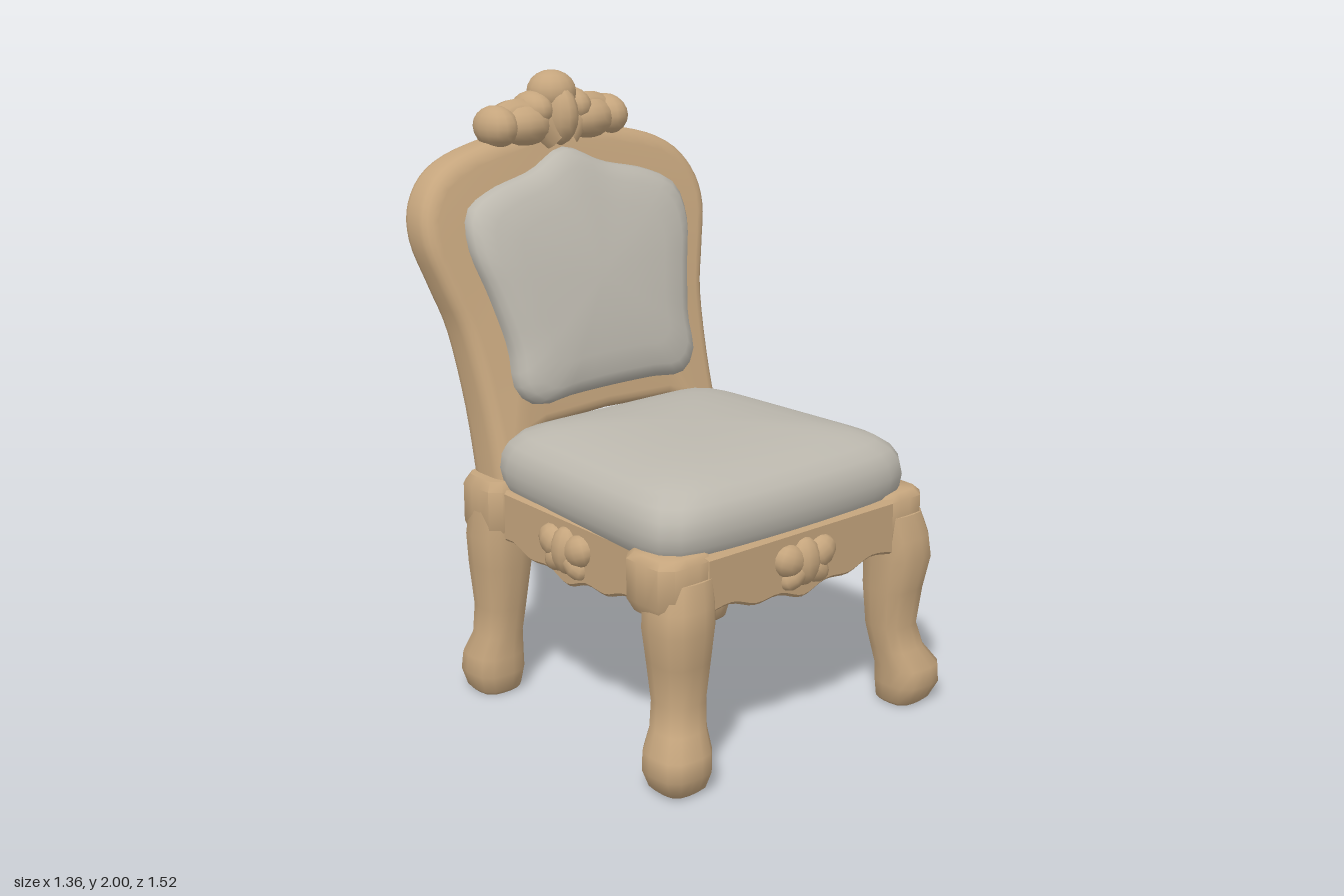
import * as THREE from 'three';
import { toCreasedNormals } from 'three/addons/utils/BufferGeometryUtils.js';

const wood = new THREE.MeshStandardMaterial({ color: 0xc5a57d });
wood.name = 'carved wood';
const fabric = new THREE.MeshStandardMaterial({ color: 0xbcb8ae });
fabric.name = 'grey fabric';

const V = (x, y, z = 0) => new THREE.Vector3(x, y, z);

function add(parent, name, geometry, material) {
  const m = new THREE.Mesh(geometry, material);
  m.name = name;
  parent.add(m);
  return m;
}

// Closed skin through a stack of equal-length rings
function loft(rings) {
  const n = rings[0].length, pos = [], idx = [];
  const mid = r => r.reduce((s, p) => s.add(p), V(0, 0)).divideScalar(n);
  rings.forEach(r => r.forEach(p => pos.push(p.x, p.y, p.z)));
  const a = rings.length * n, last = a - n;
  [mid(rings[0]), mid(rings[rings.length - 1])].forEach(p => pos.push(p.x, p.y, p.z));
  for (let k = 0; k < n; k++) {
    const l = (k + 1) % n;
    for (let i = 0; i < last; i += n) idx.push(i + k, i + n + k, i + l, i + l, i + n + k, i + n + l);
    idx.push(a, k, l, a + 1, last + l, last + k);
  }
  const g = new THREE.BufferGeometry();
  g.setAttribute('position', new THREE.Float32BufferAttribute(pos, 3));
  g.setIndex(idx);
  g.computeVertexNormals();
  return g;
}

// Rounded square outline in x/z, of unit half size
function roundedSquare(n, power) {
  return Array.from({ length: n }, (_, k) => {
    const t = (k + 0.5) / n * Math.PI * 2, c = Math.cos(t), s = Math.sin(t);
    const r = Math.pow(Math.abs(c) ** power + Math.abs(s) ** power, -1 / power);
    return [c * r, s * r];
  });
}

// Backward lean and upward taper of the chair back
const lean = (y, z) => z * (1.2 - 0.35 * (y - 0.75)) - 0.365 - 0.265 * (y - 0.75);

// Curved leg: rows of [y, outward offset, half size]
function leg(x, z, rows, power = 3.2) {
  const sq = roundedSquare(16, power), sx = Math.sign(x), sz = Math.sign(z);
  return toCreasedNormals(loft(rows.map(([y, o, h]) =>
    sq.map(([a, b]) => V(x + sx * o + a * h, y, z + sz * o + b * h)))), 0.9);
}

// Carved flower, facing +z
function ornament() {
  const g = new THREE.Group();
  g.name = 'carvedFlower';
  for (const [x, y, w, h, d, r] of [
    [0, 0, 0.06, 0.078, 0.05, 0], [-0.065, 0.015, 0.064, 0.052, 0.045, -0.4],
    [0.065, 0.015, 0.064, 0.052, 0.045, 0.4], [-0.045, -0.035, 0.058, 0.042, 0.04, 0.6],
    [0.045, -0.035, 0.058, 0.042, 0.04, -0.6]]) {
    const p = add(g, 'petal', new THREE.SphereGeometry(1, 10, 8), wood);
    p.scale.set(w, h, d);
    p.position.set(x, y, 0);
    p.rotation.z = r;
  }
  return g;
}

// Scalloped rail under the seat, facing +z
function apron(name, length, flower) {
  const g = new THREE.Group(), h = length / 2;
  g.name = name;
  const lower = new THREE.SplineCurve([[-1, 0.54], [-0.75, 0.555], [-0.5, 0.525], [-0.25, 0.53],
    [0, 0.5], [0.25, 0.53], [0.5, 0.525], [0.75, 0.555], [1, 0.54]]
    .map(([x, y]) => new THREE.Vector2(x * h, y))).getPoints(32);
  const s = new THREE.Shape([...lower, new THREE.Vector2(h, 0.725), new THREE.Vector2(-h, 0.725)]);
  const e = new THREE.ExtrudeGeometry(s, { depth: 0.025, bevelSize: 0.01, bevelThickness: 0.01,
    bevelOffset: -0.01, bevelSegments: 1 }).translate(0, 0, -0.0125);
  add(g, name + 'Board', toCreasedNormals(e, 0.6), wood);
  if (flower) {
    const f = ornament();
    f.position.set(0, 0.62, 0.018);
    g.add(f);
  }
  return g;
}

// Mirror half-outline points (bottom centre to top) into a full list
const mirror = half => [...half, ...half.slice().reverse().filter(p => p[0] > 0).map(([x, y]) => [-x, y])];

// Padded panel on the chair back: rows of [scale, depth], with an extra mid-height bulge
function backPad(half, rows, bulge) {
  const outline = new THREE.CatmullRomCurve3(mirror(half).map(p => V(...p)), true)
    .getSpacedPoints(64).slice(0, 64).reverse();
  return toCreasedNormals(loft(rows.map(([k, d]) => outline.map(p => {
    const y = 1.35 + (p.y - 1.35) * k;
    return V(p.x * k, y, lean(y, d) + bulge * Math.sin(Math.PI * (y - 0.95) / 0.8));
  }))), 0.9);
}

export function createModel() {
  const model = new THREE.Group();
  model.name = 'model';
  const chair = new THREE.Group();
  chair.name = 'chair';
  chair.rotation.y = -10 * Math.PI / 180;
  model.add(chair);

  // Legs with corner blocks
  const frontRows = [[0, 0.04, 0.066], [0.012, 0.042, 0.078], [0.07, 0.051, 0.095], [0.13, 0.049, 0.094],
    [0.19, 0.026, 0.078], [0.27, 0.01, 0.075], [0.4, 0.012, 0.088], [0.51, 0.02, 0.099],
    [0.58, 0.014, 0.098], [0.66, 0, 0.09]];
  const backRows = [[0, 0.025, 0.07], [0.012, 0.025, 0.08], [0.07, 0.028, 0.094], [0.13, 0.026, 0.09],
    [0.2, 0.014, 0.074], [0.3, 0.006, 0.077], [0.45, 0.004, 0.093], [0.55, 0.004, 0.098], [0.66, 0, 0.09]];
  for (const s of [1, -1]) {
    const side = s > 0 ? 'left' : 'right';
    add(chair, side + 'FrontLeg', leg(s * 0.45 + 0.014, 0.54, frontRows), wood);
    add(chair, side + 'BackLeg', leg(s * 0.44, -0.348, backRows), wood);
    add(chair, side + 'FrontBlock', leg(s * 0.448, 0.512,
      [[0.55, 0, 0.09], [0.59, 0, 0.11], [0.715, 0, 0.11], [0.735, 0, 0.09]], 5), wood);
    add(chair, side + 'BackBlock', leg(s * 0.428, -0.358,
      [[0.55, 0, 0.088], [0.59, 0, 0.104], [0.72, 0, 0.104], [0.75, 0, 0.085]], 5), wood);
    const rail = apron(side + 'Apron', 0.78, true);
    rail.position.set(s * 0.474, 0, 0.075);
    rail.rotation.y = s * (Math.PI / 2 + 0.02);
    chair.add(rail);
  }
  const footPatch = add(chair, 'footPatch', new THREE.SphereGeometry(1, 16, 10), fabric);
  footPatch.scale.set(0.012, 0.05, 0.05);
  footPatch.position.set(-0.379, 0.072, -0.402);
  const front = apron('frontApron', 0.8, true);
  front.position.z = 0.6;
  chair.add(front);
  const rear = apron('backApron', 0.78, false);
  rear.position.z = -0.415;
  rear.rotation.y = Math.PI;
  chair.add(rear);

  // Seat cushion, wider toward the front with a gently bowed front edge
  const plan = roundedSquare(64, 9).map(([a, b]) =>
    [a * (0.508 + 0.028 * b), 0.108 + b * 0.49 + (b > 0 ? 0.025 * b * (1 - a * a) : 0)]);
  const seatRows = [[0.93, 0.695], [0.965, 0.715], [0.99, 0.75], [1, 0.79], [0.985, 0.835], [0.945, 0.87],
    [0.87, 0.9], [0.75, 0.922], [0.57, 0.939], [0.33, 0.949], [0.1, 0.952]];
  add(chair, 'seatCushion', toCreasedNormals(loft(seatRows.map(([k, y]) =>
    plan.map(([x, z]) => V(x * k, y, 0.1 + (z - 0.1) * k)))), 1), fabric);

  // Back frame: posts, arched top and lower rail in one piece
  const outer = new THREE.SplineCurve(mirror([[0.482, 0.7], [0.48, 0.95], [0.502, 1.2], [0.545, 1.35],
    [0.587, 1.5], [0.567, 1.62], [0.475, 1.72], [0.3, 1.78], [0.0, 1.82]])
    .map(p => new THREE.Vector2(...p))).getPoints(64);
  const arch = [[-0.335, 0.7], [-0.335, 0.82], [-0.31, 0.865], [-0.26, 0.88], [0, 0.89],
    [0.26, 0.88], [0.31, 0.865], [0.335, 0.82], [0.335, 0.7]].map(p => new THREE.Vector2(...p));
  const frame = new THREE.ExtrudeGeometry(new THREE.Shape([...outer, ...arch]), { depth: 0.064, bevelSize: 0.045,
    bevelThickness: 0.048, bevelOffset: -0.045, bevelSegments: 4 }).translate(0, 0, -0.032);
  const fp = frame.attributes.position;
  for (let i = 0; i < fp.count; i++) fp.setZ(i, lean(fp.getY(i), fp.getZ(i)));
  add(chair, 'backFrame', toCreasedNormals(frame, 0.8), wood);

  // Puffed cushion in front, flat upholstered panel behind
  add(chair, 'backCushion', backPad([[0, 0.975], [0.18, 0.972], [0.31, 0.965], [0.37, 1.02], [0.372, 1.15],
    [0.408, 1.32], [0.45, 1.48], [0.43, 1.59], [0.33, 1.645], [0.15, 1.69], [0, 1.75]],
  [[0.97, 0.03], [1, 0.08], [0.985, 0.108], [0.94, 0.13],
    [0.85, 0.145], [0.65, 0.154], [0.35, 0.16], [0.1, 0.162]], 0.022), fabric);
  add(chair, 'backPanel', backPad([[0, 1.0], [0.15, 1.0], [0.31, 1.0], [0.355, 1.04], [0.368, 1.2], [0.4, 1.38],
    [0.422, 1.5], [0.4, 1.59], [0.3, 1.64], [0.15, 1.655], [0, 1.665]], [[1, -0.084], [1, -0.077]], 0), fabric);

  // Carved crest: central plume with a scroll on each side
  const crest = new THREE.Group();
  crest.name = 'crest';
  crest.position.z = -0.615;
  chair.add(crest);
  const blob = (name, x, y, z, w, h, d) => {
    const b = add(crest, name, new THREE.SphereGeometry(1, 14, 10), wood);
    b.position.set(x, y, z);
    b.scale.set(w, h, d);
  };
  blob('plume', 0, 1.925, 0, 0.085, 0.075, 0.085);
  blob('plumeStem', 0, 1.855, 0.025, 0.06, 0.105, 0.095);
  for (const s of [1, -1]) {
    blob('plumeLobe', s * 0.08, 1.875, 0, 0.062, 0.062, 0.085);
    blob('scrollBody', s * 0.13, 1.83, 0, 0.115, 0.075, 0.095);
    const path = new THREE.CatmullRomCurve3([V(s * 0.02, 1.78, 0.03), V(s * 0.08, 1.84, 0.02),
      V(s * 0.15, 1.862, 0), V(s * 0.23, 1.835, 0)]);
    add(crest, 'scroll', new THREE.TubeGeometry(path, 14, 0.056, 10), wood);
    blob('scrollEnd', s * 0.23, 1.832, 0, 0.068, 0.07, 0.09);
  }
  return model;
}
